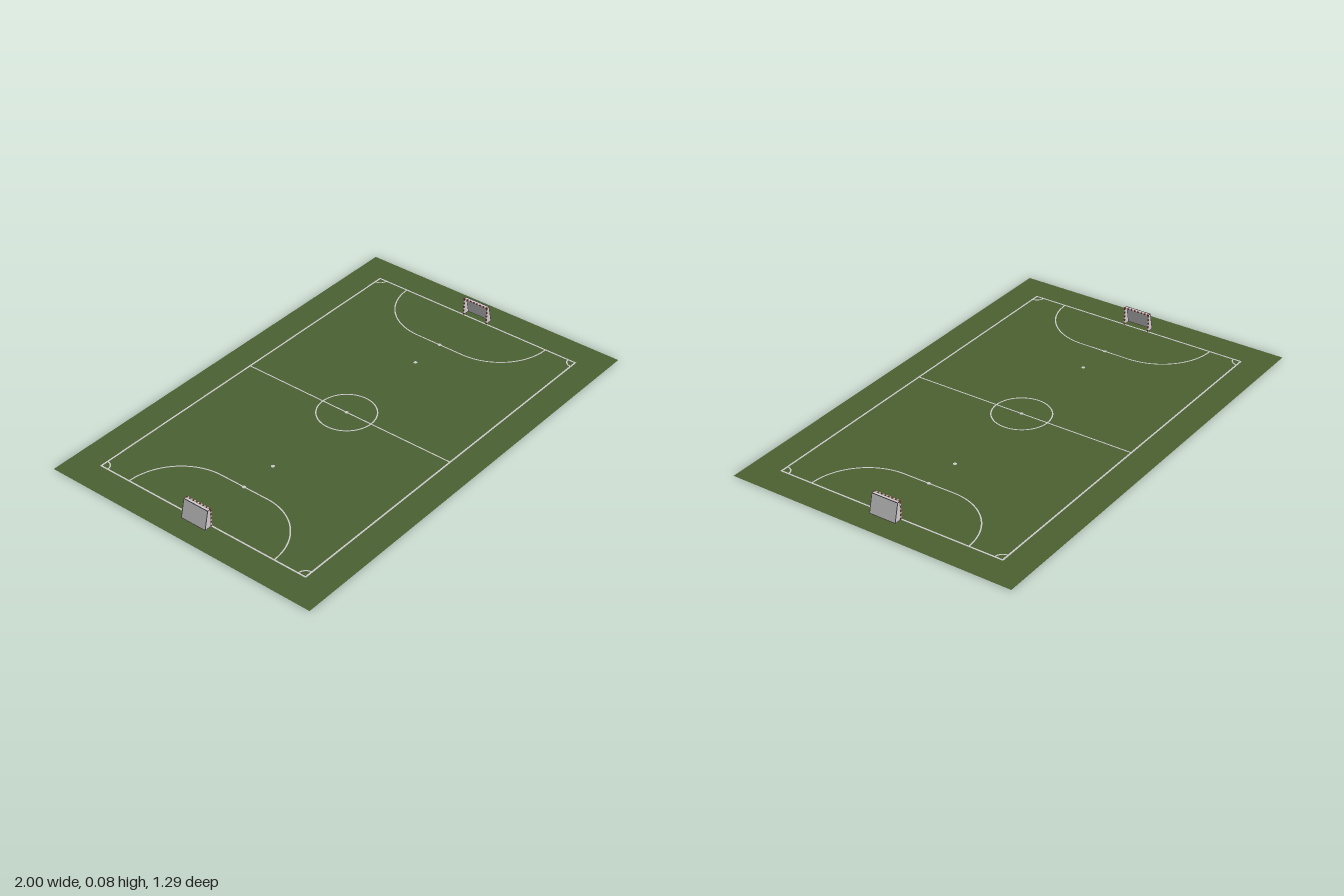
import * as THREE from 'three';

const HALF_X = 0.87, HALF_Z = 0.517;      // marked court
const LINE = 0.0055, PAINT = 0.0012;      // line width, paint thickness
const GOAL_W = 0.124, GOAL_H = 0.083, BAR = 0.005;

const mat = (color, side = THREE.FrontSide) => new THREE.MeshStandardMaterial({ color, side });
const green = mat(0x4b6132, THREE.DoubleSide);
const grey = mat(0xcccccc);
const net = mat(0xcccccc, THREE.DoubleSide);
const red = mat(0x7a2a2a);
const dark = mat(0x4a4448);

function add(parent, name, geometry, material) {
  const mesh = new THREE.Mesh(geometry, material);
  mesh.name = name;
  parent.add(mesh);
  return mesh;
}

// straight painted line
function stripe(parent, name, x, z, sx, sz) {
  add(parent, name, new THREE.BoxGeometry(sx, PAINT, sz), grey).position.set(x, PAINT / 2, z);
}

// painted arc between two angles
function arc(parent, name, x, z, r, start, sweep, width = LINE) {
  const s = new THREE.Shape();
  s.absarc(0, 0, r + width / 2, start, start + sweep, false);
  s.absarc(0, 0, r - width / 2, start + sweep, start, true);
  const g = new THREE.ExtrudeGeometry(s, { depth: PAINT, bevelEnabled: false, curveSegments: 32 });
  g.rotateX(-Math.PI / 2);
  add(parent, name, g, grey).position.set(x, 0, z);
}

function spot(parent, name, x) {
  add(parent, name, new THREE.CylinderGeometry(0.008, 0.008, PAINT, 20), grey).position.set(x, PAINT / 2, 0);
}

// square bar between two points
function bar(parent, name, a, b, t, material) {
  const from = new THREE.Vector3(...a), to = new THREE.Vector3(...b);
  const mesh = add(parent, name, new THREE.BoxGeometry(t, t, from.distanceTo(to)), material);
  mesh.position.copy(from).add(to).multiplyScalar(0.5);
  mesh.lookAt(to);
}

// bar with alternating red and white bands
function bandedBar(parent, name, a, b, bands) {
  const at = (t) => a.map((v, i) => v + (b[i] - v) * t);
  for (let i = 0; i < bands; i++) {
    bar(parent, name, at(i / bands), at((i + 1) / bands), BAR, i % 2 ? grey : red);
  }
}

function panel(parent, name, corners) {
  const g = new THREE.BufferGeometry();
  g.setAttribute('position', new THREE.Float32BufferAttribute(corners.flat(), 3));
  g.setIndex([0, 1, 2, 0, 2, 3]);
  g.computeVertexNormals();
  add(parent, name, g, net);
}

// goal whose mouth is at x = 0 and whose net leans back towards +x
function createGoal() {
  const goal = new THREE.Group();
  goal.name = 'goal';
  const w = GOAL_W / 2 - BAR / 2, top = GOAL_H - BAR / 2;
  const backTop = 0.014, backBase = 0.033, t = 0.0025;

  for (const z of [-w, w]) {
    bandedBar(goal, 'goalPost', [0, 0, z], [0, top, z], 9);
    bar(goal, 'topSideBar', [0, top, z], [backTop, top, z], t, dark);
    bar(goal, 'rearSideBar', [backTop, top, z], [backBase, t / 2, z], t, dark);
    bar(goal, 'baseSideBar', [0, t / 2, z], [backBase, t / 2, z], t, dark);
    panel(goal, 'sideNet', [[0, 0.001, z], [backBase, 0.001, z], [backTop, top, z], [0, top, z]]);
  }
  bandedBar(goal, 'crossbar', [0, top, -w - BAR / 2], [0, top, w + BAR / 2], 15);
  bar(goal, 'rearTopBar', [backTop, top, -w], [backTop, top, w], t, dark);
  bar(goal, 'rearBaseBar', [backBase, t / 2, -w], [backBase, t / 2, w], t, dark);

  panel(goal, 'backNet', [[backBase, 0.001, w], [backBase, 0.001, -w], [backTop, top, -w], [backTop, top, w]]);
  panel(goal, 'topNet', [[0, top, w], [backTop, top, w], [backTop, top, -w], [0, top, -w]]);
  return goal;
}

export function createModel() {
  const model = new THREE.Group();
  model.name = 'sportsCourt';

  // ground
  const ground = new THREE.PlaneGeometry(2, 1.29);
  ground.rotateX(-Math.PI / 2);
  add(model, 'ground', ground, green).position.y = PAINT / 2;

  // markings
  const lines = new THREE.Group();
  lines.name = 'markings';
  model.add(lines);
  stripe(lines, 'halfwayLine', 0, 0, LINE, HALF_Z * 2);
  arc(lines, 'centreCircleNear', 0, 0, 0.124, Math.PI, Math.PI);
  arc(lines, 'centreCircleFar', 0, 0, 0.124, 0, Math.PI);
  spot(lines, 'centreSpot', 0);

  const areaR = 0.25, areaZ = 0.117;
  for (const s of [-1, 1]) {
    stripe(lines, 'touchLine', 0, s * HALF_Z, HALF_X * 2 + LINE, 0.007);
    stripe(lines, 'goalLine', s * HALF_X, 0, 0.007, HALF_Z * 2);
    stripe(lines, 'areaLine', s * (HALF_X - areaR), 0, LINE, areaZ * 2);
    spot(lines, 'penaltySpot', s * (HALF_X - areaR));
    spot(lines, 'secondPenaltySpot', s * 0.453);
    for (const e of [-1, 1]) {
      // quarter arcs sweep towards the court's middle in x
      const areaStart = s > 0 ? (e < 0 ? Math.PI / 2 : Math.PI) : (e < 0 ? 0 : -Math.PI / 2);
      arc(lines, 'areaArc', s * HALF_X, e * areaZ, areaR, areaStart, Math.PI / 2);
      const cornerStart = s > 0 ? (e < 0 ? Math.PI : Math.PI / 2) : (e < 0 ? -Math.PI / 2 : 0);
      arc(lines, 'cornerArc', s * HALF_X, e * HALF_Z, 0.035, cornerStart, Math.PI / 2);
    }

    // goals, facing the centre
    const goal = createGoal();
    goal.position.x = s * (HALF_X + 0.002);
    goal.rotation.y = s > 0 ? 0 : Math.PI;
    model.add(goal);
  }
  return model;
}
